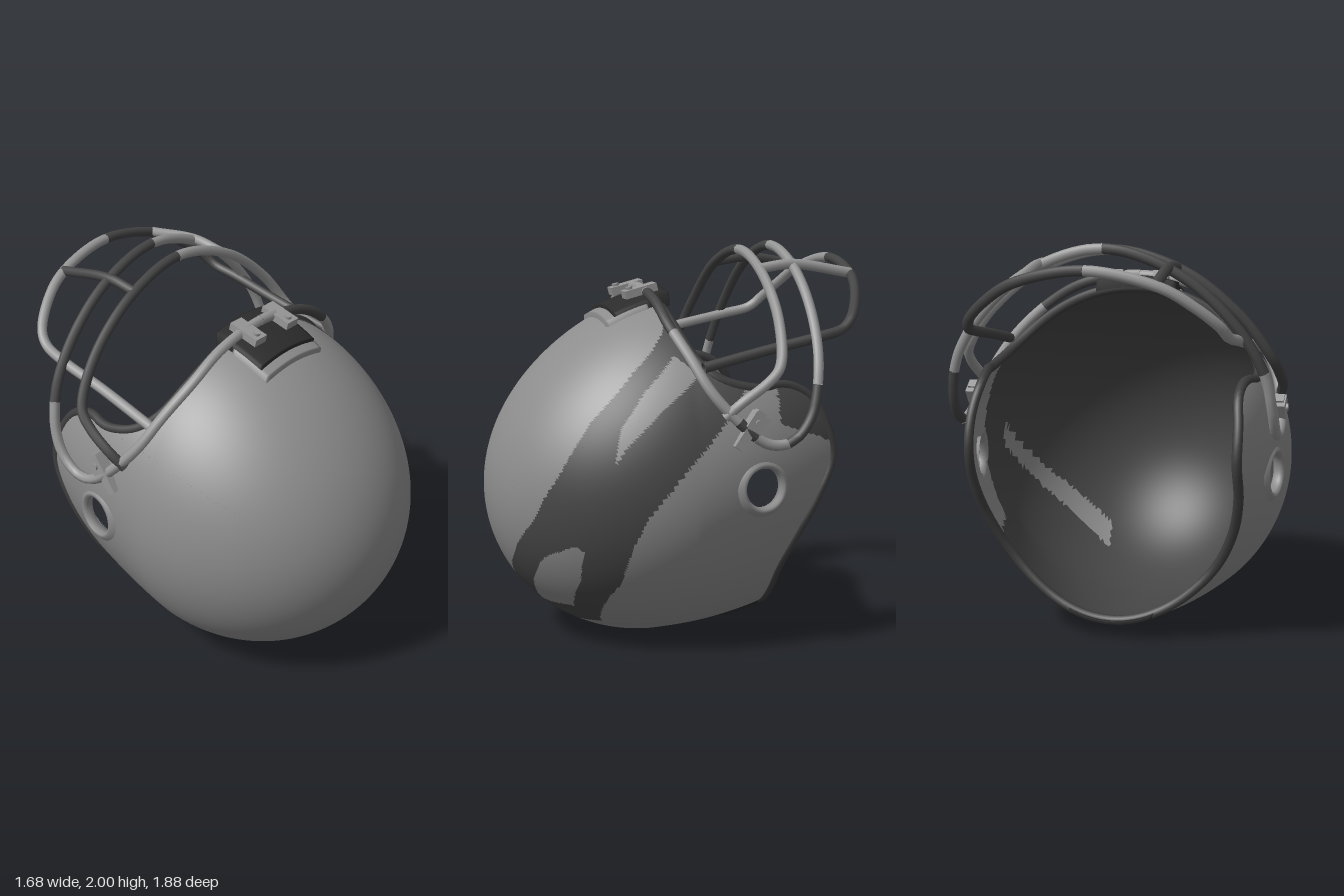
import * as THREE from 'three';

const V = (x, y, z) => new THREE.Vector3(x, y, z);
const mat = (name, color) => {
  const m = new THREE.MeshStandardMaterial({ color, side: THREE.DoubleSide });
  m.name = name;
  return m;
};

// Half outline of the face opening from brow to nape, mirrored into a closed curve
const RIM = [[0, 1.72, .09], [.25, 1.68, .09], [.46, 1.59, .075], [.61, 1.47, .02], [.67, 1.39, -.08],
  [.67, 1.34, -.26], [.64, 1.36, -.42], [.63, 1.3, -.56], [.65, 1.17, -.635], [.66, .98, -.66],
  [.68, .785, -.58], [.64, .6, -.47], [.57, .41, -.415], [.42, .24, -.43], [.25, .15, -.445], [0, .1, -.45]];
const mirrored = (half) => [...half.map((p) => V(...p)),
  ...half.slice(1, -1).reverse().map(([x, y, z]) => V(-x, y, z))];
const rimCurve = new THREE.CatmullRomCurve3(mirrored(RIM), true);

const CENTER = V(0, .86, .08);
const POLE = V(0, -.25, .97).normalize();

// Shell surface along a direction from the centre: an uneven ellipsoid, wide at the jaw and narrow at the neck
function surface(d, offset = 0) {
  const a = d.x / .81, b = d.y / (d.y > 0 ? .865 : .86), c = d.z / (d.z > 0 ? .86 : 1.3);
  let r = 1 / Math.hypot(a, b, c);
  if (d.z > 0) r *= 1 - (.065 + .025 * d.y) * 2 * d.y * d.z;
  r += offset;
  const widen = 1 + .35 * Math.max(0, -d.z) * d.y;
  return V(d.x * r * widen, d.y * r, d.z * r).add(CENTER);
}
// u runs around the opening, v runs from its edge to the crown
function shellPoint(u, v, offset) {
  const d = rimCurve.getPointAt(((u % 1) + 1) % 1).sub(CENTER).normalize();
  const ang = d.angleTo(POLE), s = Math.sin(ang);
  return surface(d.multiplyScalar(Math.sin((1 - v) * ang) / s)
    .addScaledVector(POLE, Math.sin(v * ang) / s).normalize(), offset);
}

// Stripe outlines as (degrees around the upright axis, height)
const BAND = [[82, 1.6], [76, 1.53], [65, 1.41], [50, 1.18], [40.5, .92], [30, .68], [16, .49], [0, .32],
  [0, .085], [20, .1], [41, .12], [61, .39], [67, .6], [73, .76], [84, .944], [97, 1.13], [109, 1.31], [112, 1.75], [84, 1.8]];
const UPPER_GAP = [[84, 1.48], [94, 1.395], [77, 1.236], [65, 1.08], [60, .98], [61.5, 1.15], [70, 1.32]];
const LOWER_GAP = [[46, .585], [49, .555], [45, .39], [34, .22], [8, .2], [21, .36], [32, .5]];
const LINING_GAP = [[83, .95], [27, .28], [32, .16], [83, .83]];
function inside(poly, x, y) {
  let hit = false;
  poly.forEach(([x1, y1], i) => {
    const [x2, y2] = poly[(i + 1) % poly.length];
    if ((y1 > y) !== (y2 > y) && x < x1 + (y - y1) / (y2 - y1) * (x2 - x1)) hit = !hit;
  });
  return hit;
}
const azimuth = (p) => Math.atan2(p.x, p.z - CENTER.z) * 180 / Math.PI;
function outerDark(p) {
  if (p.x < 0) return false;
  if (p.z < -.34 && p.y > 1.15 + (p.z + .36) * .38) return true;
  const az = azimuth(p);
  return inside(BAND, az, p.y) && !inside(UPPER_GAP, az, p.y) && !inside(LOWER_GAP, az, p.y);
}
function innerDark(p) {
  const az = azimuth(p);
  if (p.x > 0) return (p.z > -.13 || p.y < .5) && !inside(LINING_GAP, az, p.y);
  if (p.y < .5) return p.x > -.55 && Math.abs(p.x + .465) > .025;
  return az > -78 + Math.max(0, p.y - 1) * 38;
}

const EAR = { y: .85, z: -.245 };

// One skin of the shell with ear holes, split into two colour groups
function skin(offset, isDark, inward, nu, nv) {
  const pos = [], lists = [[], []], pts = [];
  for (let j = 0; j < nv; j++) {
    for (let i = 0; i < nu; i++) pts.push(shellPoint(i / nu, j / nv, offset));
  }
  pts.push(surface(POLE, offset));
  pts.forEach((p) => pos.push(p.x, p.y, p.z));
  const id = (i, j) => (j === nv ? nu * nv : j * nu + i % nu);
  const tri = (a, b, c) => {
    const m = V(0, 0, 0).add(pts[a]).add(pts[b]).add(pts[c]).divideScalar(3);
    if (Math.abs(m.x) > .3 && Math.hypot(m.y - EAR.y, m.z - EAR.z) < .112) return;
    lists[isDark(m) ? 1 : 0].push(...(inward ? [a, b, c] : [a, c, b]));
  };
  for (let j = 0; j < nv; j++) {
    for (let i = 0; i < nu; i++) {
      tri(id(i, j), id(i + 1, j), id(i, j + 1));
      if (j < nv - 1) tri(id(i + 1, j), id(i + 1, j + 1), id(i, j + 1));
    }
  }
  const g = new THREE.BufferGeometry();
  g.setAttribute('position', new THREE.Float32BufferAttribute(pos, 3));
  g.setIndex([...lists[0], ...lists[1]]);
  g.addGroup(0, lists[0].length, 0);
  g.addGroup(lists[0].length, lists[1].length, 1);
  g.computeVertexNormals();
  return g;
}

// Raised pad that follows the shell, its border sunk into the surface
function pad(u0, u1, v0, v1, height) {
  const n = 24, g = new THREE.PlaneGeometry(1, 1, n, n), p = g.attributes.position;
  for (let k = 0; k < p.count; k++) {
    const i = k % (n + 1), j = Math.floor(k / (n + 1));
    const edge = i === 0 || j === 0 || i === n || j === n;
    const q = shellPoint(u0 + (u1 - u0) * i / n, v0 + (v1 - v0) * j / n, edge ? -.01 : height);
    p.setXYZ(k, q.x, q.y, q.z);
  }
  g.computeVertexNormals();
  return g;
}

export function createModel() {
  const model = new THREE.Group();
  const grey = mat('shellGrey', 0x8c8c8c), dark = mat('stripeDark', 0x474747);
  const trim = mat('trimDark', 0x3e3e3e), black = mat('bumperBlack', 0x2b2b2b);
  const wireLight = mat('wireGrey', 0x969696), wireDark = mat('wireDark', 0x444444);
  const add = (name, geo, m, parent = model) => {
    const mesh = new THREE.Mesh(geo, m);
    mesh.name = name;
    parent.add(mesh);
    return mesh;
  };

  // Shell, lining and edge trim
  add('outerShell', skin(0, outerDark, false, 320, 150), [grey, dark]);
  add('innerLining', skin(-.03, innerDark, true, 150, 70), [grey, dark]);
  const edge = [];
  for (let i = 0; i < 90; i++) edge.push(shellPoint(i / 90, 0, -.012));
  add('edgeTrim', new THREE.TubeGeometry(new THREE.CatmullRomCurve3(edge, true), 180, .025, 8, true), trim);

  // Bumpers at brow and nape
  add('browPlate', pad(-.038, .038, .04, .2, .022), grey);
  add('browPad', pad(-.036, .036, .015, .165, .036), black);
  add('browBumper', pad(-.036, .036, -.03, .04, .05), black);
  add('napeBumper', pad(.455, .545, -.012, .12, .012), black);

  // Ear hole collars
  const collar = [[.13, -.045], [.1, -.04], [.095, -.005], [.105, .012], [.12, .012], [.142, -.008]];
  for (const s of [1, -1]) {
    const g = new THREE.LatheGeometry(collar.map((p) => new THREE.Vector2(...p)), 40);
    g.rotateZ(-s * Math.PI / 2).rotateY(s * .16);
    add(s > 0 ? 'leftEarCollar' : 'rightEarCollar', g, grey).position.set(s * .787, EAR.y, EAR.z);
  }

  // Face guard wires; each is cut at the given fractions into alternating tones
  const guard = new THREE.Group();
  guard.name = 'faceGuard';
  model.add(guard);
  function wire(name, curve, cuts, tones) {
    curve.arcLengthDivisions = 600;
    for (let k = 0; k < cuts.length - 1; k++) {
      const n = Math.max(3, Math.ceil((cuts[k + 1] - cuts[k]) * 70)), pts = [];
      for (let i = 0; i <= n; i++) pts.push(curve.getPointAt(cuts[k] + (cuts[k + 1] - cuts[k]) * i / n));
      add(name, new THREE.TubeGeometry(new THREE.CatmullRomCurve3(pts), n * 2, .026, 8), tones[k % 2], guard);
    }
  }
  const arch = (half) => new THREE.CatmullRomCurve3([...half.map((p) => V(...p)),
    ...half.slice(0, -1).reverse().map(([x, y, z]) => V(-x, y, z))]);
  const loop = [[0, 1.77, .15], [.3, 1.72, .15], [.48, 1.62, .14], [.64, 1.47, .08], [.74, 1.32, .01],
    [.79, 1.18, -.11], [.81, 1.07, -.25], [.81, 1.07, -.37], [.81, 1.18, -.47], [.77, 1.4, -.525],
    [.63, 1.63, -.555], [.36, 1.86, -.57], [0, 1.97, -.575]];
  wire('outerLoop', new THREE.CatmullRomCurve3(mirrored(loop), true),
    [0, .03, .1, .2, .22, .25, .31, .5, .68, 1], [wireLight, wireDark]);
  wire('middleArch', arch([[.77, 1.2, -.05], [.8, 1.27, -.12], [.8, 1.36, -.25], [.78, 1.43, -.32],
    [.64, 1.63, -.37], [.36, 1.85, -.39], [0, 1.95, -.4]]), [0, .5, 1], [wireLight, wireDark]);
  wire('frontArch', arch([[.68, 1.43, .03], [.66, 1.5, -.3], [.655, 1.555, -.57], [.635, 1.59, -.71],
    [.61, 1.64, -.765], [.5, 1.74, -.835], [.35, 1.83, -.88], [0, 1.9, -.91]]), [0, .5, 1], [wireDark, wireLight]);
  for (const s of [1, -1]) {
    wire('crossBar', new THREE.CatmullRomCurve3([V(s * .32, 1.87, -.39), V(s * .32, 1.89, -.57), V(s * .33, 1.84, -.885)]),
      [0, 1], [s > 0 ? wireLight : wireDark]);
  }

  // Clips and screws that hold the guard
  for (const s of [1, -1]) {
    const brow = new THREE.Group();
    brow.name = 'browClip';
    brow.position.set(s * .12, 1.76, .175);
    brow.rotation.x = .25;
    add('clipStrap', new THREE.BoxGeometry(.08, .04, .17), wireLight, brow);
    add('clipScrew', new THREE.CylinderGeometry(.018, .018, .016, 12), wireLight, brow).position.set(0, .025, .05);
    const side = new THREE.Group();
    side.name = 'sideClip';
    side.position.set(s * .8, 1.14, -.16);
    side.rotation.x = -.61;
    add('clipStrap', new THREE.BoxGeometry(.045, .21, .05), wireLight, side);
    add('clipBlock', new THREE.BoxGeometry(.06, .09, .085), wireLight, side).position.set(0, .05, -.01);
    const screw = add('clipScrew', new THREE.CylinderGeometry(.018, .018, .014, 12), wireLight, side);
    screw.rotation.z = Math.PI / 2;
    screw.position.set(s * .033, .05, -.01);
    model.add(brow, side);
  }
  return model;
}
